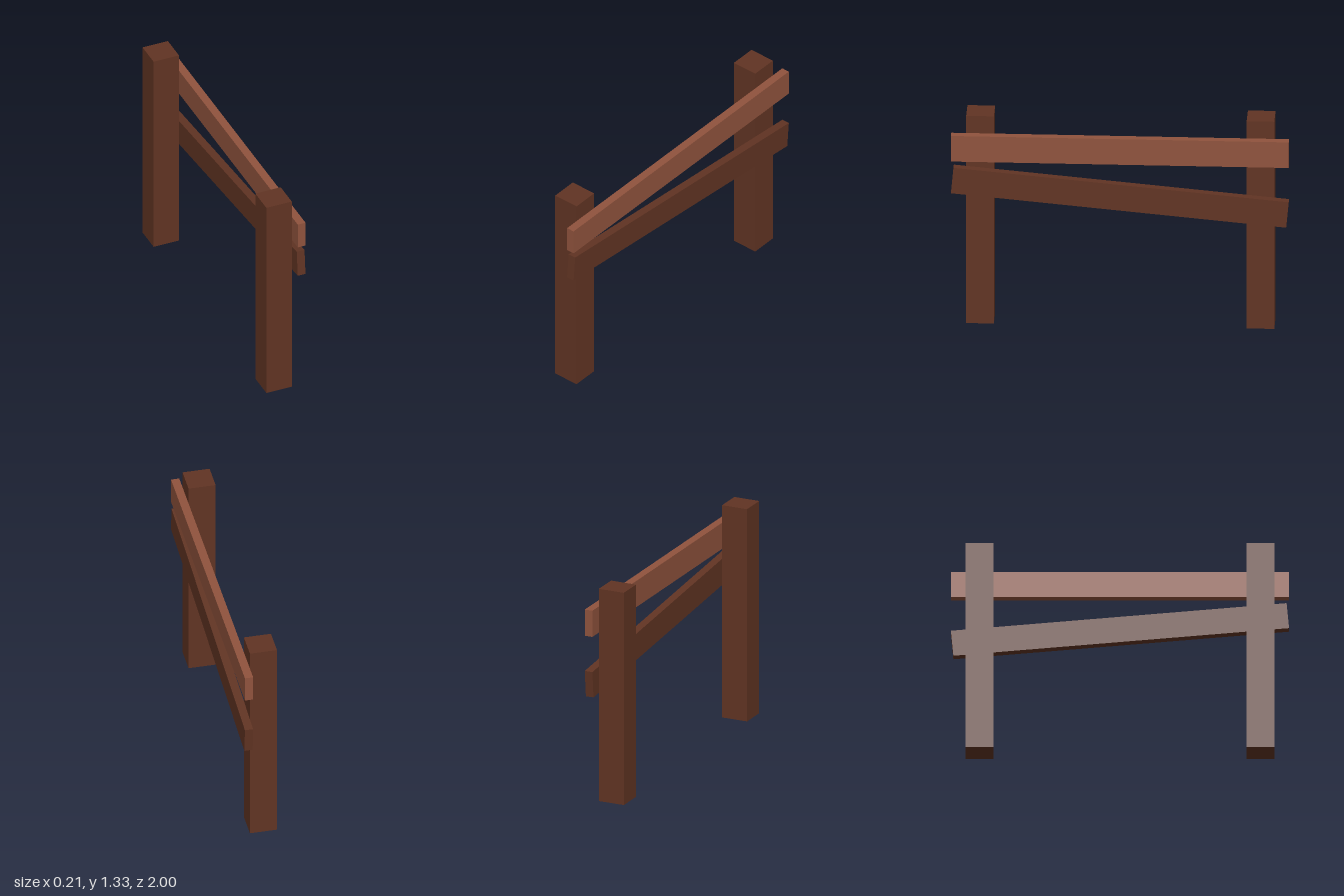
import * as THREE from 'three';

export function createModel() {
  const group = new THREE.Group();
  group.name = 'fence';

  const darkWood = new THREE.MeshStandardMaterial({ color: 0x613423 });
  darkWood.name = 'darkWood';
  const lightWood = new THREE.MeshStandardMaterial({ color: 0x90533d });
  lightWood.name = 'lightWood';

  function addBox(name, size, position, material) {
    const mesh = new THREE.Mesh(new THREE.BoxGeometry(...size), material);
    mesh.name = name;
    mesh.position.set(...position);
    group.add(mesh);
    return mesh;
  }

  // Two square posts
  const post = 0.164, height = 1.33;
  for (const [name, side] of [['frontPost', 1], ['backPost', -1]]) {
    addBox(name, [post, height, post], [-0.025, height / 2, side * 0.83], darkWood);
  }

  // Level upper rail and sagging lower rail, fixed to the left faces of the posts
  const thickness = 0.05, railX = 0.082;
  addBox('upperRail', [thickness, 0.164, 2], [railX, 1.138, 0], lightWood);
  const lowerRail = addBox('lowerRail', [thickness, 0.164, 1.993], [railX, 0.844, 0], darkWood);
  lowerRail.rotation.x = -0.0905;

  return group;
}
